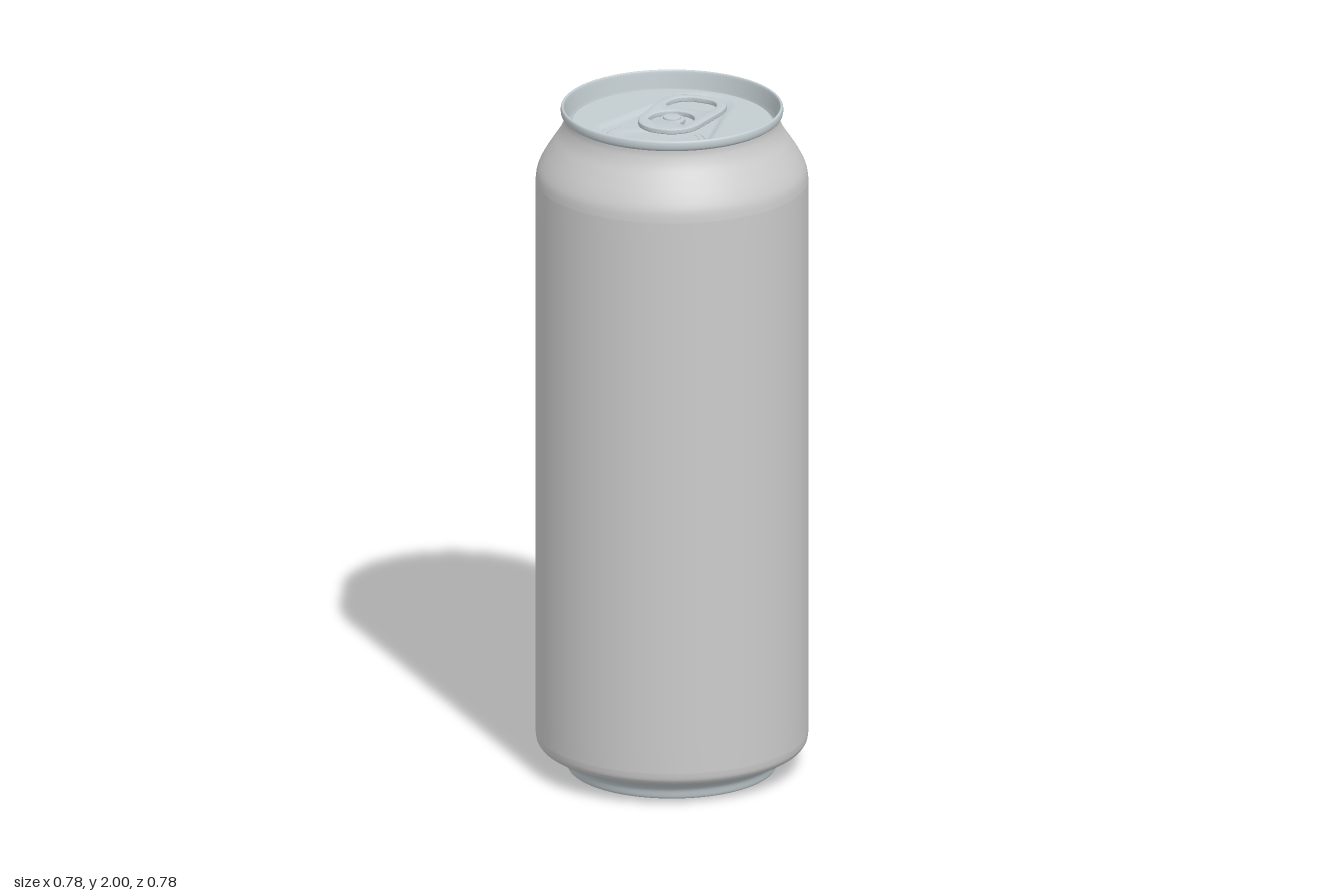
import * as THREE from 'three';
import { toCreasedNormals } from 'three/addons/utils/BufferGeometryUtils.js';

const SEGMENTS = 96;
const PANEL_Y = 1.95;
const paint = new THREE.MeshStandardMaterial({ color: 0xcccccc });
const metal = new THREE.MeshStandardMaterial({ color: 0xc3cdd1 });

const toPoints = (list) => list.map(([x, y]) => new THREE.Vector2(x, y));
const smooth = (list, n) => new THREE.SplineCurve(toPoints(list)).getPoints(n);

function addMesh(parent, name, geometry, material) {
  const mesh = new THREE.Mesh(geometry, material);
  mesh.name = name;
  parent.add(mesh);
  return mesh;
}

const lathe = (points) => new THREE.LatheGeometry(points, SEGMENTS);

// Height of the pressed lid: a teardrop recess with a shallow dish in the mouth
function lidHeight(x, z) {
  const t = THREE.MathUtils.clamp((z + 0.165) / 0.285, 0, 1);
  const radius = THREE.MathUtils.lerp(0.095, 0.17, t);
  const distance = Math.hypot(x, z - THREE.MathUtils.lerp(-0.165, 0.09, t)) - radius;
  const recess = 1 - THREE.MathUtils.smoothstep(distance, -0.012, 0.012);
  const mouth = Math.hypot(x / 0.115, (z - 0.135) / 0.07);
  const dish = 1 - THREE.MathUtils.smoothstep(mouth, 0.75, 1.1);
  return PANEL_Y - 0.008 * recess - 0.004 * dish;
}

function lidPanel() {
  const geometry = new THREE.RingGeometry(0.001, 0.287, SEGMENTS, 60);
  geometry.rotateX(-Math.PI / 2);
  const p = geometry.attributes.position;
  for (let i = 0; i < p.count; i++) p.setY(i, lidHeight(p.getX(i), p.getZ(i)));
  geometry.computeVertexNormals();
  return geometry;
}

// Open oval score line around the mouth
function scoreLine(rx, rz) {
  const points = [];
  for (let i = 0; i <= 48; i++) {
    const a = THREE.MathUtils.lerp(-0.25 * Math.PI, 1.22 * Math.PI, i / 48);
    const x = rx * Math.cos(a);
    const z = 0.125 + rz * Math.sin(a);
    points.push(new THREE.Vector3(x, lidHeight(x, z), z));
  }
  return new THREE.TubeGeometry(new THREE.CatmullRomCurve3(points), 96, 0.0015, 6);
}

// Pull tab, drawn with its finger end towards +y before being laid flat
function pullTab() {
  const shape = new THREE.Shape();
  shape.moveTo(0, -0.102);
  shape.bezierCurveTo(0.055, -0.102, 0.09, -0.065, 0.094, -0.01);
  shape.lineTo(0.102, 0.11);
  shape.bezierCurveTo(0.106, 0.185, 0.07, 0.218, 0, 0.218);
  shape.bezierCurveTo(-0.07, 0.218, -0.106, 0.185, -0.102, 0.11);
  shape.lineTo(-0.094, -0.01);
  shape.bezierCurveTo(-0.09, -0.065, -0.055, -0.102, 0, -0.102);

  // Finger opening
  const finger = new THREE.Path();
  finger.moveTo(-0.048, 0.095);
  finger.lineTo(0.048, 0.095);
  finger.bezierCurveTo(0.066, 0.095, 0.072, 0.108, 0.072, 0.125);
  finger.bezierCurveTo(0.07, 0.172, 0.045, 0.192, 0.015, 0.192);
  finger.lineTo(-0.015, 0.192);
  finger.bezierCurveTo(-0.045, 0.192, -0.07, 0.172, -0.072, 0.125);
  finger.bezierCurveTo(-0.072, 0.108, -0.066, 0.095, -0.048, 0.095);

  // Horseshoe slot around the rivet
  const slot = new THREE.Path();
  slot.moveTo(0.064, -0.022);
  slot.lineTo(0.064, 0);
  slot.absarc(0, 0, 0.064, 0, Math.PI, false);
  slot.lineTo(-0.064, -0.022);
  slot.absarc(-0.051, -0.022, 0.013, Math.PI, 2 * Math.PI, false);
  slot.lineTo(-0.038, 0);
  slot.absarc(0, 0, 0.038, Math.PI, 0, true);
  slot.lineTo(0.038, -0.022);
  slot.absarc(0.051, -0.022, 0.013, Math.PI, 2 * Math.PI, false);
  shape.holes.push(finger, slot);

  const geometry = new THREE.ExtrudeGeometry(shape, {
    depth: 0.006, curveSegments: 16, bevelEnabled: true,
    bevelThickness: 0.005, bevelSize: 0.005, bevelOffset: -0.005, bevelSegments: 3,
  });
  geometry.rotateX(-Math.PI / 2);
  return toCreasedNormals(geometry, 0.7);
}

export function createModel() {
  const can = new THREE.Group();
  can.name = 'drinkCan';

  // Domed underside and standing foot
  addMesh(can, 'base', lathe([
    ...smooth([[0, 0.125], [0.1, 0.115], [0.19, 0.086], [0.25, 0.05], [0.272, 0.02],
      [0.28, 0.004], [0.29, 0], [0.3, 0.005], [0.307, 0.03], [0.325, 0.047],
      [0.36, 0.062], [0.38, 0.075]], 60),
  ]), metal);

  // Straight wall with curved lower edge, shoulder and neck
  addMesh(can, 'body', lathe([
    ...smooth([[0.38, 0.075], [0.388, 0.088], [0.391, 0.11]], 8),
    ...toPoints([[0.391, 0.2], [0.391, 1.7]]),
    ...smooth([[0.391, 1.775], [0.386, 1.81], [0.37, 1.845], [0.345, 1.885],
      [0.322, 1.92], [0.31, 1.95], [0.308, 1.97]], 32),
  ]), paint);

  // Rolled rim, inner wall and countersink groove
  addMesh(can, 'rim', lathe([
    ...smooth([[0.308, 1.968], [0.316, 1.974], [0.319, 1.985], [0.318, 1.996],
      [0.314, 2], [0.31, 1.997], [0.308, 1.985]], 28),
    ...smooth([[0.304, 1.95], [0.301, 1.936], [0.297, 1.932], [0.293, 1.936],
      [0.291, 1.945], [0.287, PANEL_Y]], 20),
  ]), metal);

  addMesh(can, 'lidPanel', lidPanel(), metal);
  addMesh(can, 'outerScoreLine', scoreLine(0.155, 0.115), metal);
  addMesh(can, 'innerScoreLine', scoreLine(0.138, 0.1), metal);

  addMesh(can, 'pullTab', pullTab(), metal).position.y = 1.951;

  // Rivet holding the tab
  addMesh(can, 'rivet', lathe(smooth([[0.026, 1.938], [0.026, 1.964], [0.022, 1.968],
    [0.01, 1.969], [0, 1.969]], 16)), metal);

  return can;
}
